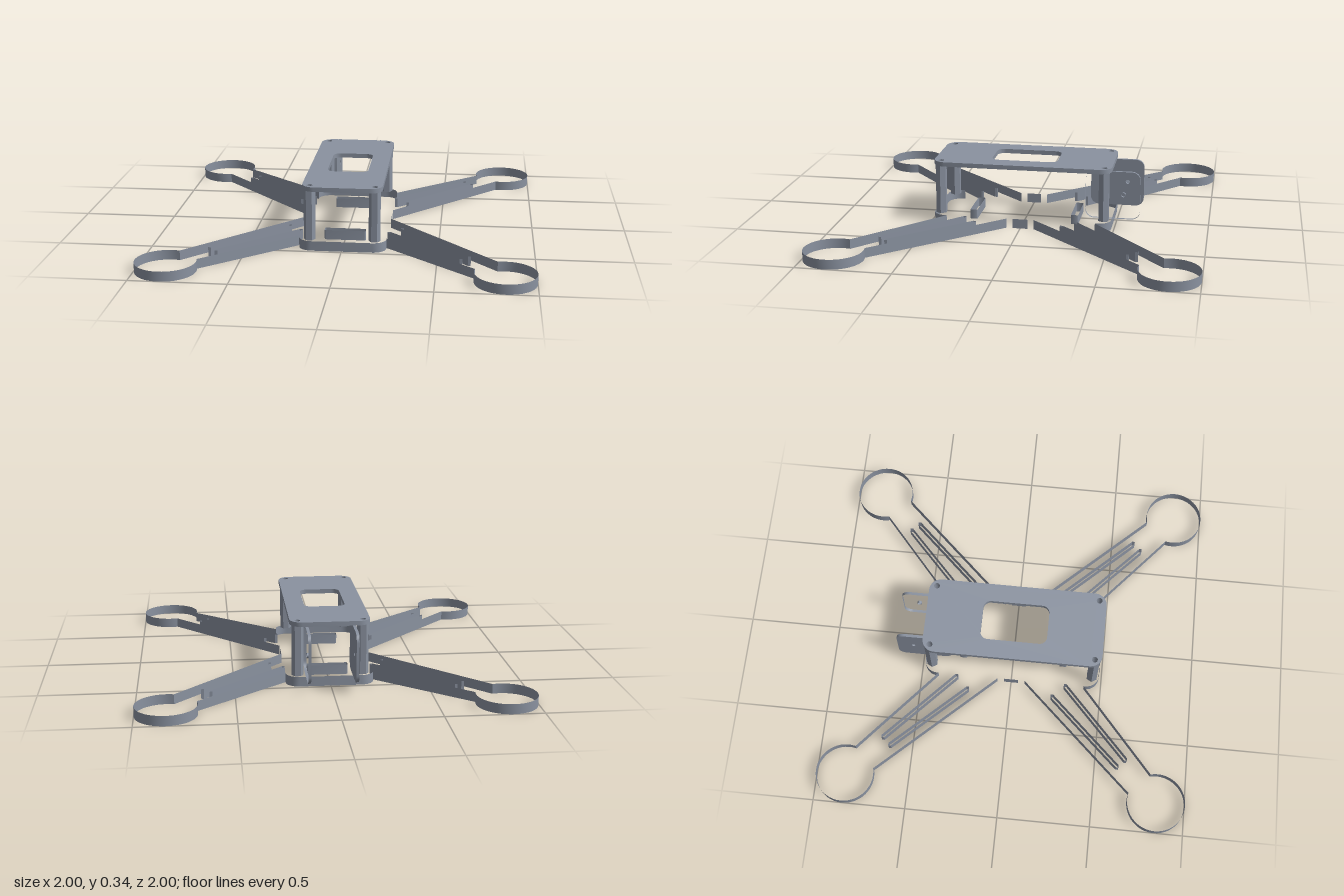
import * as THREE from 'three';
import { toCreasedNormals } from 'three/addons/utils/BufferGeometryUtils.js';

const metal = new THREE.MeshStandardMaterial({ color: 0x8a92a0, side: THREE.DoubleSide });
metal.name = 'slate grey';

const BASE_H = 0.052;

// Upright strip following a path of [x, z] points
function ribbon(points, y0, y1, closed = false) {
  const path = closed ? [...points, points[0]] : points;
  const pos = [];
  const index = [];
  path.forEach(([x, z], i) => {
    pos.push(x, y0, z, x, y1, z);
    if (i) {
      const a = 2 * i - 2;
      index.push(a, a + 2, a + 1, a + 1, a + 2, a + 3);
    }
  });
  const g = new THREE.BufferGeometry();
  g.setAttribute('position', new THREE.Float32BufferAttribute(pos, 3));
  g.setIndex(index);
  return toCreasedNormals(g, 0.5);
}

function arc(cx, cy, r, a0, a1, n) {
  return Array.from({ length: n + 1 }, (_, i) => {
    const a = a0 + ((a1 - a0) * i) / n;
    return [cx + r * Math.cos(a), cy + r * Math.sin(a)];
  });
}

// Corner-rounded rectangle as a list of points
function roundedRect(cx, cy, hw, hh, r) {
  const q = Math.PI / 2;
  return [[1, 1], [-1, 1], [-1, -1], [1, -1]].flatMap(([sx, sy], i) =>
    arc(cx + sx * (hw - r), cy + sy * (hh - r), r, i * q, (i + 1) * q, 6));
}

const circle = (x, y, r) => arc(x, y, r, 0, Math.PI * 2, 20).slice(0, -1);
const vectors = pts => pts.map(([x, y]) => new THREE.Vector2(x, y));

function plate(outline, holes, depth) {
  const shape = new THREE.Shape(vectors(outline));
  holes.forEach(h => shape.holes.push(new THREE.Path(vectors(h))));
  const g = new THREE.ExtrudeGeometry(shape, { depth, bevelEnabled: false });
  return toCreasedNormals(g, 0.5);
}

export function createModel() {
  const model = new THREE.Group();
  model.name = 'quadcopterFrame';
  const add = (name, geometry, parent = model) => {
    const mesh = new THREE.Mesh(geometry, metal);
    mesh.name = name;
    parent.add(mesh);
    return mesh;
  };

  // Base: open edge walls, one quarter with arm and motor ring at a time
  const c = 0.844, r = 0.156, half = 0.08;
  const spread = Math.asin(half / r);
  const back = Math.PI * 1.25;
  const quarter = [
    [0, 0.485],
    ...arc(0.16, 0.415, 0.07, Math.PI / 2, 0, 8),
    [0.23, 0.405],
    ...arc(c, c, r, back - spread, back + spread - Math.PI * 2, 40),
    [0.23, 0.075],
  ];
  // Long narrow slot in an arm, given in along/across coordinates
  const armSlot = side => {
    const w = 0.01;
    return [
      [0.38, side * 0.048 - w], [0.91, side * 0.03 - w], [0.92, side * 0.03],
      [0.91, side * 0.03 + w], [0.38, side * 0.048 + w], [0.37, side * 0.048],
    ].map(([l, p]) => [(l + p) * Math.SQRT1_2, (l - p) * Math.SQRT1_2]);
  };
  for (const sx of [1, -1]) {
    for (const sz of [1, -1]) {
      const arm = new THREE.Group();
      arm.name = (sz > 0 ? 'front' : 'rear') + (sx > 0 ? 'Left' : 'Right') + 'Arm';
      model.add(arm);
      const mirror = pts => pts.map(([x, z]) => [x * sx, z * sz]);
      add('armAndRingWall', ribbon(mirror(quarter), 0, BASE_H), arm);
      for (const side of [1, -1]) {
        add('armSlotWall', ribbon(mirror(armSlot(side)), 0, BASE_H, true), arm);
      }
    }
    add('baseSideWall', ribbon([[sx * 0.23, -0.04], [sx * 0.23, 0.04]], 0, BASE_H));
  }

  // Strap slots across the base
  for (const sz of [1, -1]) {
    add('strapSlotWall', ribbon(roundedRect(0, sz * 0.28, 0.11, 0.02, 0.006), 0, BASE_H, true));
  }

  // Top plate with centre window and screw holes
  const corners = [[1, 1], [1, -1], [-1, 1], [-1, -1]].map(([x, z]) => [x * 0.17, z * 0.445]);
  const top = add('topPlate', plate(
    roundedRect(0, 0, 0.21, 0.485, 0.065),
    [roundedRect(0, 0, 0.11, 0.18, 0.04), ...corners.map(([x, z]) => circle(x, z, 0.016))],
    0.024));
  top.rotation.x = -Math.PI / 2;
  top.position.y = 0.321;

  // Hollow hexagonal standoffs
  const hex = arc(0, 0, 0.031, 0, Math.PI * 2, 6).slice(0, -1);
  const postGeometry = plate(hex, [circle(0, 0, 0.016)], 0.321 - BASE_H);
  for (const [x, z] of corners) {
    const post = add('standoff', postGeometry);
    post.rotation.x = -Math.PI / 2;
    post.position.set(x, BASE_H, z);
  }

  // Rear camera plates: the right one is solid, the left one only has edge walls
  const finOutline = roundedRect(-0.488, 0.184, 0.147, 0.132, 0.045);
  const finHole = circle(-0.545, 0.187, 0.012);
  const solid = add('rightCameraPlate', plate(
    finOutline.map(([z, y]) => [-z, y]), [finHole.map(([z, y]) => [-z, y])], 0.015));
  solid.rotation.y = Math.PI / 2;
  solid.position.x = -0.13;
  const open = new THREE.Group();
  open.name = 'leftCameraPlate';
  model.add(open);
  for (const pts of [finOutline, finHole]) {
    // strip built upright, then turned so its width runs along x
    const wall = add('plateEdgeWall', ribbon(pts.map(([z, y]) => [y, z]), -0.13, -0.115, true), open);
    wall.rotation.z = Math.PI / 2;
  }
  return model;
}
